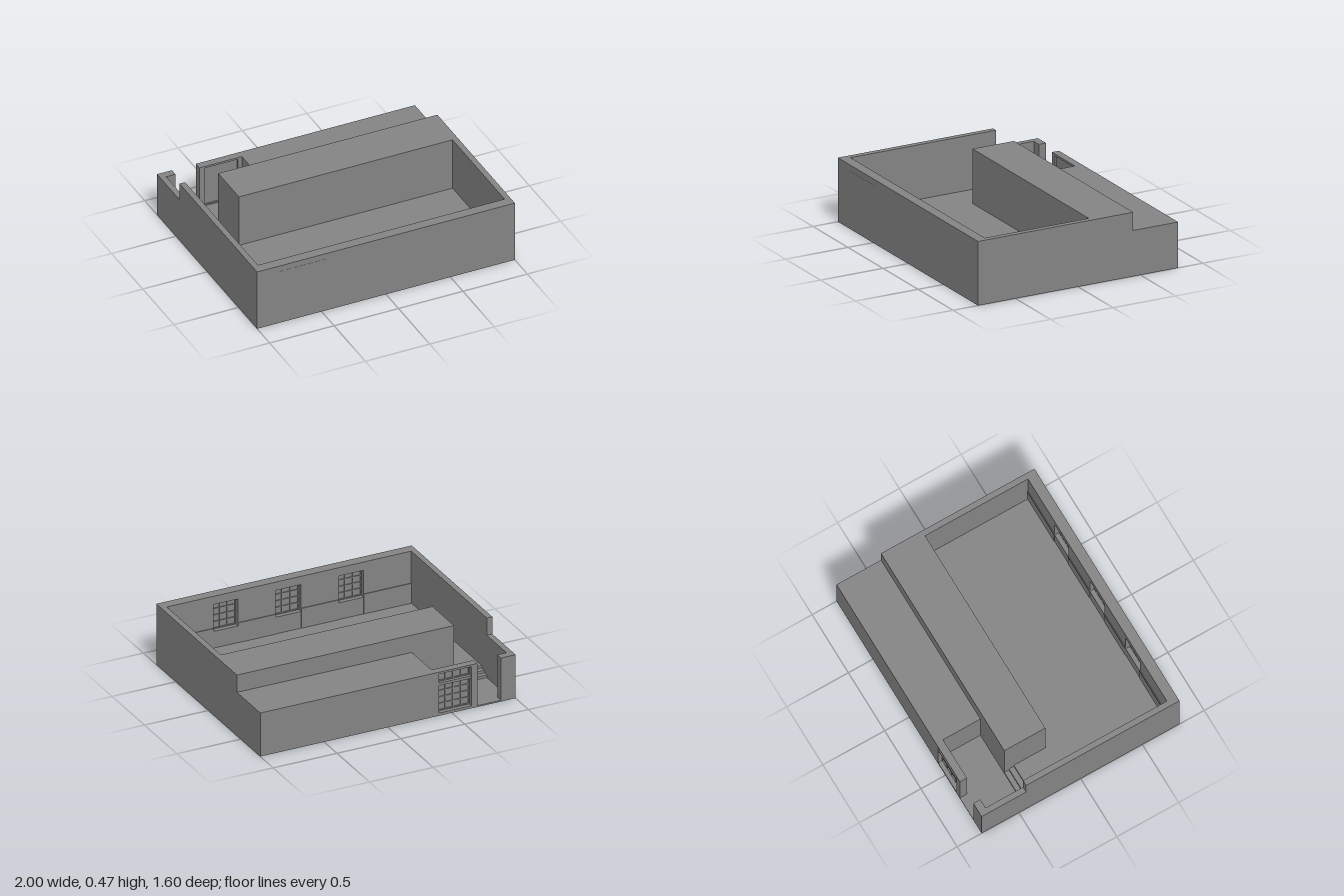
import * as THREE from 'three';

const material = new THREE.MeshStandardMaterial({ color: 0x848484, flatShading: true });

// Box given by its min and max on each axis
function box(parent, name, [x0, x1], [y0, y1], [z0, z1]) {
  const mesh = new THREE.Mesh(new THREE.BoxGeometry(x1 - x0, y1 - y0, z1 - z0), material);
  mesh.position.set((x0 + x1) / 2, (y0 + y1) / 2, (z0 + z1) / 2);
  mesh.name = name;
  parent.add(mesh);
}

// Upright slab with rectangular holes, each hole [x0, x1, y0, y1]
function pierced(parent, name, [x0, x1], [y0, y1], [z0, z1], holes) {
  const rect = (target, a, b, c, d) => {
    target.moveTo(a, c).lineTo(b, c).lineTo(b, d).lineTo(a, d).closePath();
    return target;
  };
  const shape = rect(new THREE.Shape(), x0, x1, y0, y1);
  shape.holes = holes.map(h => rect(new THREE.Path(), ...h));
  const geometry = new THREE.ExtrudeGeometry(shape, { depth: z1 - z0, bevelEnabled: false });
  const mesh = new THREE.Mesh(geometry, material);
  mesh.position.z = z0;
  mesh.name = name;
  parent.add(mesh);
}

// Even grid of panes inside a frame, leaving bars of width b
function panes([x0, x1], [y0, y1], cols, rows, b) {
  const w = (x1 - x0 - b) / cols, h = (y1 - y0 - b) / rows, holes = [];
  for (let i = 0; i < cols; i++)
    for (let j = 0; j < rows; j++)
      holes.push([x0 + b + i * w, x0 + (i + 1) * w, y0 + b + j * h, y0 + (j + 1) * h]);
  return holes;
}

export function createModel() {
  const model = new THREE.Group();
  model.name = 'roofless building';
  const H = 0.475, LOW = 0.34, FLOOR = 0.07, BACK = -0.802, DROP = -0.442;

  // Floors and the steps between them
  const floors = new THREE.Group();
  floors.name = 'floors';
  model.add(floors);
  box(floors, 'base', [-1, 1], [0, 0.01], [BACK, 0.8]);
  box(floors, 'roomFloor', [-0.957, 0.957], [0.01, FLOOR], [-0.11, 0.765]);
  box(floors, 'passageFloor', [-0.957, -0.7], [0.01, FLOOR], [-0.365, -0.11]);
  box(floors, 'upperStep', [-0.957, -0.7], [0.01, 0.05], [-0.405, -0.365]);
  box(floors, 'lowerStep', [-0.957, -0.7], [0.01, 0.03], [DROP, -0.405]);

  // Side walls, the model's right one dropping in height at the back
  const walls = new THREE.Group();
  walls.name = 'walls';
  model.add(walls);
  box(walls, 'rightWall', [-1, -0.957], [0.01, H], [DROP, 0.765]);
  box(walls, 'rightWallLow', [-1, -0.957], [0.01, LOW], [BACK, DROP]);
  box(walls, 'leftWall', [0.957, 1], [0.01, H], [-0.11, 0.765]);

  // Solid blocks behind the room
  box(walls, 'tallBlock', [-0.7, 1], [0.01, H], [DROP, -0.11]);
  box(walls, 'lowBlock', [-0.37, 1], [0.01, LOW], [BACK, DROP]);

  // Front wall: plain outside, window recesses inside
  const windowX = [[-0.585, -0.39], [-0.095, 0.105], [0.4, 0.59]];
  const sill = 0.2, head = 0.41;
  box(walls, 'frontWall', [-1, 1], [0.01, H], [0.765, 0.8]);
  pierced(walls, 'frontWallLining', [-0.957, 0.957], [FLOOR, H], [0.723, 0.765],
    windowX.map(([a, b]) => [a, b, sill, head]));
  windowX.forEach(x => pierced(model, 'roomWindow', x, [sill, head], [0.757, 0.766],
    panes(x, [sill, head], 3, 4, 0.007)));

  // Wainscot and chair rail between the windows
  const edges = [-0.957, ...windowX.flat(), 0.957];
  for (let i = 0; i < edges.length; i += 2) {
    const span = [edges[i], edges[i + 1]];
    box(model, 'wainscot', span, [FLOOR, 0.205], [0.72, 0.723]);
    box(model, 'chairRail', span, [0.205, 0.226], [0.717, 0.723]);
  }

  // Very thin plate on the outside of the front wall
  box(model, 'frontPlate', [-0.84, -0.47], [0.05, 0.43], [0.8, 0.801]);

  // Back wall beside the doorway, with a tall shop window
  const shopX = [-0.655, -0.4];
  box(walls, 'doorPost', [-0.957, -0.885], [0.01, LOW], [BACK, -0.745]);
  pierced(walls, 'backWall', [-0.7, -0.37], [0.01, LOW], [BACK, -0.745],
    [[...shopX, 0.02, 0.325]]);
  const shop = new THREE.Group();
  shop.name = 'shopWindow';
  model.add(shop);
  pierced(shop, 'lowerSash', shopX, [0.02, 0.23], [-0.77, -0.762], panes(shopX, [0.02, 0.23], 4, 4, 0.008));
  box(shop, 'transom', shopX, [0.23, 0.25], [-0.795, -0.757]);
  pierced(shop, 'upperSash', shopX, [0.25, 0.325], [-0.77, -0.762], panes(shopX, [0.25, 0.325], 4, 1, 0.008));
  box(shop, 'glass', shopX, [0.02, 0.325], [-0.762, -0.757]);

  return model;
}
